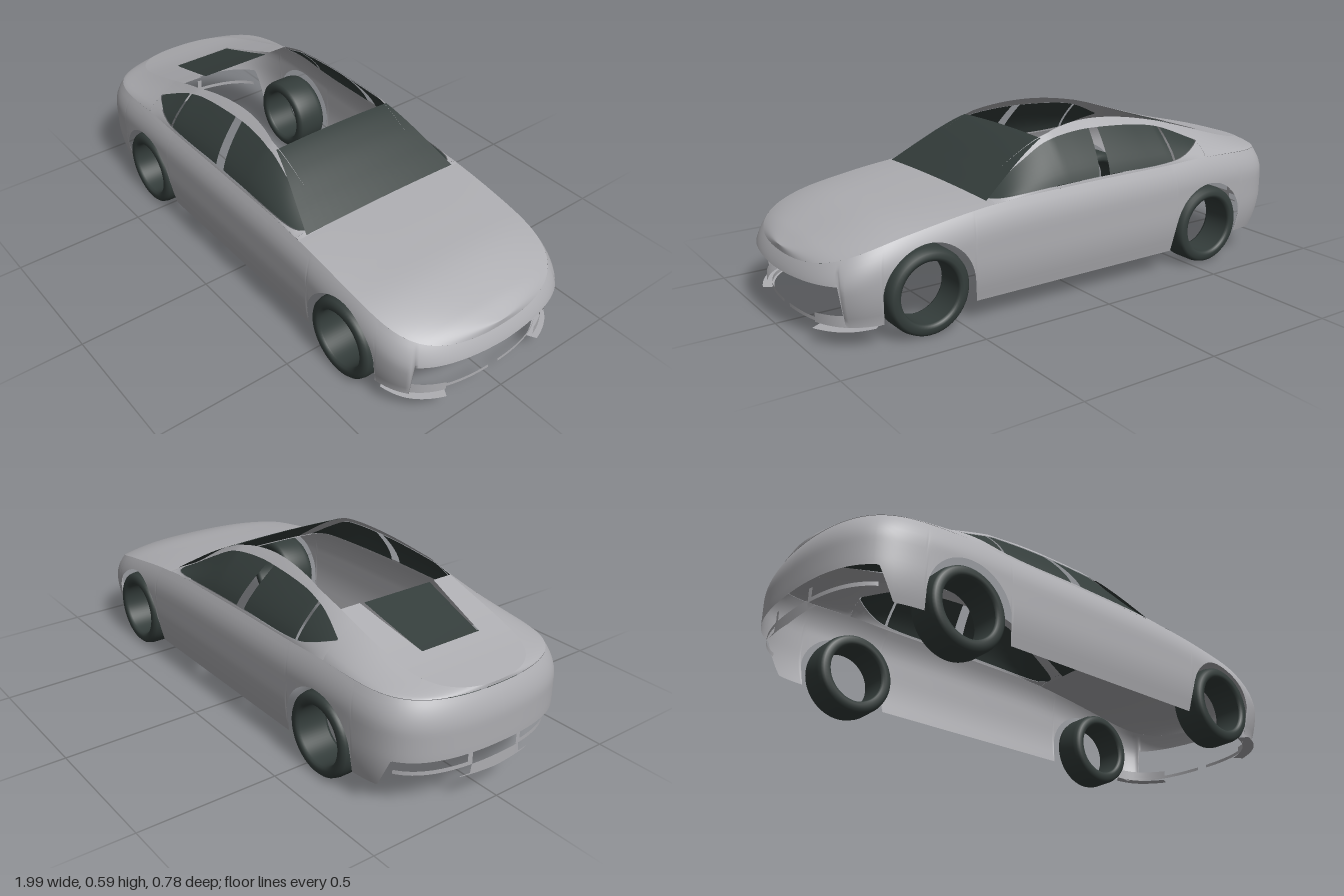
import * as THREE from 'three';

const bodyPaint = new THREE.MeshStandardMaterial({ color: 0xadadb1, side: THREE.DoubleSide });
bodyPaint.name = 'silver body';
const dark = new THREE.MeshStandardMaterial({ color: 0x343d3b, side: THREE.DoubleSide });
dark.name = 'dark glass and rubber';

const lerp = THREE.MathUtils.lerp;
const clamp = THREE.MathUtils.clamp;

// Smooth curve through [x, y] pairs sorted by x
function curve(pts) {
  const slope = (i) => {
    const a = pts[Math.max(i - 1, 0)], b = pts[Math.min(i + 1, pts.length - 1)];
    return (b[1] - a[1]) / (b[0] - a[0]);
  };
  return (x) => {
    x = clamp(x, pts[0][0], pts[pts.length - 1][0]);
    let i = 0;
    while (i < pts.length - 2 && x > pts[i + 1][0]) i++;
    const [x0, y0] = pts[i], [x1, y1] = pts[i + 1], h = x1 - x0, t = (x - x0) / h;
    const t2 = t * t, t3 = t2 * t;
    return (2 * t3 - 3 * t2 + 1) * y0 + (t3 - 2 * t2 + t) * h * slope(i)
      + (3 * t2 - 2 * t3) * y1 + (t3 - t2) * h * slope(i + 1);
  };
}

// Car lines along the length (nose at +x)
const belt = curve([[-1, 0.388], [-0.8, 0.4], [-0.57, 0.408], [-0.4, 0.404], [0, 0.4], [0.38, 0.388], [0.7, 0.345], [0.85, 0.308], [1, 0.25]]);
const roof = curve([[-0.97, 0.4], [-0.8, 0.435], [-0.6, 0.492], [-0.5, 0.523], [-0.4, 0.55], [-0.25, 0.577], [-0.12, 0.586], [0, 0.578], [0.11, 0.552], [0.2, 0.51], [0.3, 0.45], [0.385, 0.396]]);
const hoodLine = curve([[0.38, 0.399], [0.6, 0.377], [0.75, 0.356], [0.9, 0.306], [0.97, 0.27]]);
const railZ = curve([[-0.97, 0.22], [-0.75, 0.25], [-0.5, 0.25], [-0.3, 0.225], [-0.12, 0.215], [0, 0.224], [0.11, 0.247], [0.385, 0.328]]);
const windowTop = curve([[-0.57, 0.463], [-0.42, 0.525], [-0.3, 0.547], [-0.12, 0.558], [0, 0.554], [0.1, 0.537], [0.2, 0.49], [0.3, 0.436], [0.37, 0.399]]);
const windowBottom = curve([[-0.57, 0.46], [-0.42, 0.416], [-0.1, 0.411], [0.1, 0.407], [0.37, 0.397]]);

// Rounded plan outline, s = -1 (tail) to 1 (nose), for the +z half
const N = 12, M = 2.2, W = 0.39;
const halfWidth = (x) => W * Math.pow(Math.max(0, 1 - Math.abs(x) ** N), 1 / M);
function outline(s, inset = 0) {
  const a = Math.abs(s);
  let x = a * 1.125, z;
  if (a < 0.8) z = halfWidth(x);
  else {
    z = halfWidth(0.9) * Math.max(0, (1 - a) / 0.2);
    x = Math.pow(1 - (z / W) ** M, 1 / N);
  }
  return [Math.sign(s) * x * (1 - inset), z * (1 - inset / W)];
}
const beltZ = (x) => (W - 0.03) / W * halfWidth(x / 0.97);

// Grid surface from fn(u, v) => [x, y, z]
function sheet(nu, nv, fn) {
  const pos = [], idx = [];
  for (let i = 0; i <= nu; i++) for (let j = 0; j <= nv; j++) pos.push(...fn(i / nu, j / nv));
  for (let i = 0; i < nu; i++) for (let j = 0; j < nv; j++) {
    const a = i * (nv + 1) + j, b = a + nv + 1;
    idx.push(a, b, b + 1, a, b + 1, a + 1);
  }
  const g = new THREE.BufferGeometry();
  g.setAttribute('position', new THREE.Float32BufferAttribute(pos, 3));
  g.setIndex(idx);
  g.computeVertexNormals();
  return g;
}

// Lower body edge: sill, wheel arches, bumper openings
const wheelX = [-0.575, 0.63], axleY = 0.147, archR = 0.165;
function lowerEdge(x, z) {
  for (const cx of wheelX) {
    const d = Math.abs(x - cx);
    if (d < archR) return axleY + Math.sqrt(archR * archR - d * d);
  }
  if (x < -0.7) return lerp(0.09, 0.2, clamp((-0.845 - x) / 0.04, 0, 1));
  if (x > 0.75) return z > 0.325 ? 0.07 : lerp(0.2, 0.21, z / 0.325);
  return 0.075;
}

// Upper side wall between belt and roof rail
function wall(x, y, inset = 0) {
  const b = beltZ(x), f = clamp((y - belt(x)) / Math.max(roof(x) - belt(x), 0.001), 0, 1);
  return [x, y, lerp(b, Math.min(railZ(x), 0.66 * b), Math.pow(f, 1.4)) - inset];
}
const wallStrip = (x0, x1, lo, hi, ease = 1, rows = 8) => sheet(60, rows, (u, v) => {
  const x = lerp(x0, x1, Math.pow(u, ease));
  return wall(x, lerp(lo(x), hi(x), v));
});

export function createModel() {
  const car = new THREE.Group();
  car.name = 'car';
  const add = (name, geo, mat) => {
    const m = new THREE.Mesh(geo, mat);
    m.name = name;
    car.add(m);
    return m;
  };
  // Adds the +z part and its mirror image
  const addPair = (name, geo, mat) => {
    add(name + 'Right', geo, mat);
    const g = geo.clone(), p = g.attributes.position, n = g.index.array;
    for (let i = 0; i < p.count; i++) p.setZ(i, -p.getZ(i));
    for (let i = 0; i < n.length; i += 3) [n[i], n[i + 1]] = [n[i + 1], n[i]];
    g.computeVertexNormals();
    add(name + 'Left', g, mat);
  };

  // Lower body shell wrapping from tail to nose
  addPair('bodySide', sheet(420, 14, (u, v) => {
    const s = u * 2 - 1, [x, z] = outline(s), top = belt(x);
    const y = lerp(lowerEdge(x, z), top, v);
    const inset = 0.03 * (1 - Math.min(1, (top - y) / 0.1)) ** 2 + 0.02 * clamp((0.22 - y) / 0.14, 0, 1) ** 2;
    const p = outline(s, inset);
    return [p[0], y, p[1]];
  }), bodyPaint);

  // Hood
  add('hood', sheet(70, 32, (u, v) => {
    const [x, z] = outline(lerp(0.348, 1, u), 0.03), t = v * 2 - 1, e = belt(outline(lerp(0.348, 1, u))[0]);
    return [x, e + (hoodLine(x) - e) * (1 - Math.abs(t) ** 3), z * t];
  }), bodyPaint);

  // Rear quarters, window frames and roof rails
  addPair('rearQuarter', wallStrip(-0.97, -0.57, belt, roof, 2), bodyPaint);
  addPair('roofRail', wallStrip(-0.57, 0.37, windowTop, roof), bodyPaint);
  addPair('windowSill', wallStrip(-0.57, 0.37, belt, windowBottom, 1, 2), bodyPaint);
  addPair('pillarFoot', wallStrip(0.37, 0.385, belt, roof, 1, 2), bodyPaint);

  // Rear deck with an opening for the rear window
  const railIn = (x) => Math.min(railZ(x), 0.66 * beltZ(x));
  add('rearDeck', sheet(40, 24, (u, v) => {
    const x = lerp(-0.97, -0.76, u * u);
    return [x, roof(x), railIn(x) * (v * 2 - 1)];
  }), bodyPaint);
  addPair('rearPillar', sheet(20, 6, (u, v) => {
    const x = lerp(-0.76, -0.5, u);
    return [x, roof(x), lerp(railIn(x), lerp(0.122, 0.16, u), v)];
  }), bodyPaint);

  // Glass
  add('rearWindow', sheet(16, 12, (u, v) => {
    const x = lerp(-0.757, -0.5, u);
    return [x, roof(x) - 0.003, lerp(0.12, 0.142, u) * (v * 2 - 1)];
  }), dark);
  add('windshield', sheet(24, 16, (u, v) => {
    const x = lerp(0.11, 0.385, u), t = v * 2 - 1;
    return [x, roof(x) - 0.002 + 0.006 * (1 - t * t), railZ(x) * t];
  }), dark);
  const panes = [
    ['quarterGlass', -0.565, -0.424, 0, 0],
    ['rearDoorGlass', -0.413, -0.127, 0, 1],
    ['frontDoorGlass', -0.085, 0.368, 1.3, 0],
  ];
  for (const [name, x0, x1, k0, k1] of panes) {
    addPair(name, sheet(30, 8, (u, v) => {
      const x = lerp(x0, x1, u) + lerp(k0, k1, u) * (0.5 - v) * 0.028;
      return wall(x, lerp(windowBottom(x), windowTop(x), v), 0.004);
    }), dark);
  }

  // Bumper trims that follow the outline
  const band = (s0, s1, inset, lo, hi) => sheet(30, 2, (u, v) => {
    const [x, z] = outline(lerp(s0, s1, u), inset);
    return [x, lerp(lo(u), hi(u), v), z];
  });
  const flat = (y) => () => y;
  addPair('frontLip', band(0.76, 0.985, 0.045, flat(0.058), flat(0.07)), bodyPaint);
  addPair('frontFang', band(0.72, 0.87, 0.03, flat(0.064), (u) => lerp(0.112, 0.096, u)), bodyPaint);
  addPair('frontSplitter', sheet(24, 1, (u, v) => {
    const [x, z] = outline(lerp(0.73, 0.87, u), lerp(0.015, 0.05, v));
    return [x, lerp(0.064, 0.05, u), z];
  }), bodyPaint);
  addPair('rearTrim', band(-0.79, -0.94, 0.02, flat(0.141), flat(0.155)), bodyPaint);
  addPair('rearTrimUpright', band(-0.929, -0.94, 0.02, flat(0.141), flat(0.19)), bodyPaint);
  addPair('rearValance', band(-0.91, -1, 0.015, (u) => lerp(0.112, 0.104, u),
    (u) => (u < 0.3 ? 0.115 : 0.146)), bodyPaint);

  // Open tyres
  const profile = [[0.104, 0.052], [0.108, 0.061], [0.118, 0.064], [0.134, 0.062], [0.143, 0.053], [0.147, 0.036], [0.147, 0]];
  const loop = [...profile, ...profile.slice(0, -1).reverse().map(([r, z]) => [r, -z]), profile[0]];
  const tyre = new THREE.LatheGeometry(loop.map(([r, z]) => new THREE.Vector2(r, z)), 64);
  tyre.rotateX(Math.PI / 2);
  wheelX.forEach((x, i) => {
    for (const side of [1, -1]) {
      add((i ? 'front' : 'rear') + 'Tyre' + (side > 0 ? 'Right' : 'Left'), tyre, dark).position.set(x, axleY, side * 0.327);
    }
  });

  return car;
}
